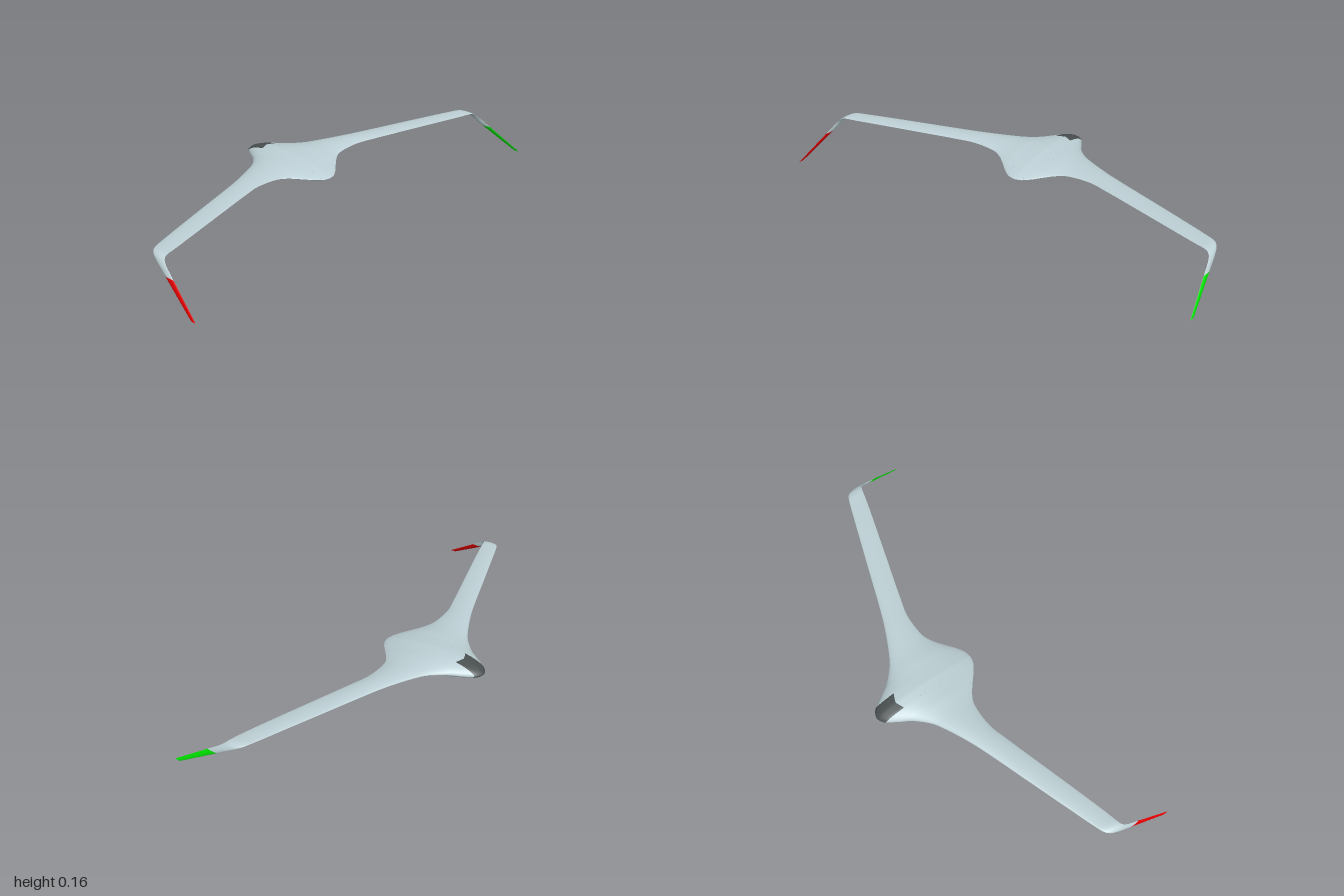
import * as THREE from 'three';

// Half-span stations from centreline to winglet tip:
// x, y, leading z, trailing z, upper height, lower depth, tilt
const STATIONS = [
  [0, 0.111, -0.387, 0.092, 0.049, 0.031, 0],
  [0.02, 0.111, -0.381, 0.089, 0.048, 0.031, 0],
  [0.038, 0.112, -0.366, 0.082, 0.046, 0.030, 0],
  [0.07, 0.116, -0.318, 0.060, 0.040, 0.026, 0],
  [0.1, 0.121, -0.272, 0.034, 0.034, 0.022, 0],
  [0.15, 0.129, -0.222, -0.005, 0.023, 0.015, 0],
  [0.2, 0.134, -0.19, -0.025, 0.017, 0.010, 0],
  [0.3, 0.139, -0.142, -0.026, 0.012, 0.007, 0],
  [0.4, 0.142, -0.103, 0, 0.009, 0.005, 0],
  [0.6, 0.146, -0.034, 0.06, 0.006, 0.004, 0],
  [0.77, 0.149, 0.025, 0.111, 0.005, 0.003, 0],
  [0.87, 0.15, 0.06, 0.14, 0.004, 0.003, 0],
  [0.92, 0.15, 0.08, 0.153, 0.004, 0.003, 0.12],
  [0.942, 0.143, 0.1, 0.164, 0.004, 0.003, 0.75],
  [0.954, 0.126, 0.134, 0.188, 0.004, 0.003, 1.15],
  [0.965, 0.095, 0.19, 0.237, 0.004, 0.003, 1.2],
  [0.998, 0.002, 0.358, 0.384, 0.002, 0.001, 1.2],
  [0.999, 0, 0.363, 0.386, 0, 0, 1.2],
];
const TIP = STATIONS.length - 1;
const PATCH = 2;    // station at the edge of the dark nose patch
const WINGLET = 15; // station where the coloured tip begins

// Station i; negative indices mirror to the right-hand side
const station = (i) => {
  const row = STATIONS[Math.min(Math.abs(i), TIP)];
  return i < 0 ? [-row[0], ...row.slice(1)] : row;
};

// Smooth interpolation between stations, straight along the coloured tips
function sectionAt(s) {
  if (s < 0) { const m = sectionAt(-s); m[0] = -m[0]; return m; }
  const i = Math.min(Math.floor(s), TIP - 1), t = s - i;
  const [a, b, c, d] = [-1, 0, 1, 2].map((k) => station(i + k));
  return b.map((p, k) => {
    if (i >= WINGLET) return p + (c[k] - p) * t;
    const m0 = (c[k] - a[k]) / 2, m1 = (d[k] - p) / 2, e = p - c[k];
    return p + t * (m0 + t * (-3 * e - 2 * m0 - m1 + t * (2 * e + m0 + m1)));
  });
}

// Surface point: u runs lower trailing edge (-1), leading edge (0), upper trailing edge (1)
function surface(s, u) {
  const [x, y, front, back, up, down, tilt] = sectionAt(s);
  const t = (1 - Math.cos(Math.PI * Math.abs(u))) / 2;
  const foil = Math.pow(t, 0.6) * Math.pow(Math.max(1 - t, 0), 0.8) / 0.385;
  const h = foil * (u > 0 ? up : -down);
  const side = s < 0 ? -1 : 1;
  return new THREE.Vector3(x + side * Math.sin(tilt) * h, y + Math.cos(tilt) * h, front + (back - front) * t);
}

function normalAt(s, u) {
  const e = 0.015;
  const sc = THREE.MathUtils.clamp(s, -TIP + 1.05, TIP - 1.05);
  const uc = THREE.MathUtils.clamp(u, -0.96, 0.96);
  const du = surface(sc, uc + e).sub(surface(sc, uc - e));
  const ds = surface(sc + e, uc).sub(surface(sc - e, uc));
  return du.cross(ds).normalize();
}

// Skin panel between two stations and two section limits, given as functions of s
function panel(name, material, s0, s1, from, to, nu) {
  const ns = Math.ceil((s1 - s0) * 6);
  const pos = [], nor = [], index = [];
  for (let i = 0; i <= ns; i++) {
    const s = s0 + ((s1 - s0) * i) / ns;
    for (let j = 0; j <= nu; j++) {
      const u = from(s) + ((to(s) - from(s)) * j) / nu;
      pos.push(...surface(s, u).toArray());
      nor.push(...normalAt(s, u).toArray());
      if (i < ns && j < nu) {
        const a = i * (nu + 1) + j, d = a + nu + 1;
        index.push(a, a + 1, d + 1, a, d + 1, d);
      }
    }
  }
  const geo = new THREE.BufferGeometry();
  geo.setAttribute('position', new THREE.Float32BufferAttribute(pos, 3));
  geo.setAttribute('normal', new THREE.Float32BufferAttribute(nor, 3));
  geo.setIndex(index);
  const mesh = new THREE.Mesh(geo, material);
  mesh.name = name;
  return mesh;
}

// Section parameter at which the skin reaches a given z
function uAtZ(s, z) {
  const [, , front, back] = sectionAt(s);
  return Math.acos(1 - (2 * (z - front)) / (back - front)) / Math.PI;
}

export function createModel() {
  const group = new THREE.Group();
  group.name = 'flyingWing';
  const paint = (color) => new THREE.MeshStandardMaterial({ color });
  const skin = paint(0xbdd0d5), dark = paint(0x4a5050);
  const under = () => -1, over = () => 1;

  // Nose patch limits: notched on top, straight underneath
  const patchTop = (s) => uAtZ(s, -0.29 + 0.016 * Math.min(1, Math.abs(s) / PATCH));
  const patchBottom = (s) => -uAtZ(s, -0.155);

  // Centre body around the dark nose patch
  group.add(
    panel('upperBody', skin, -PATCH, PATCH, patchTop, over, 16),
    panel('nosePatch', dark, -PATCH, PATCH, patchBottom, patchTop, 24),
    panel('lowerBody', skin, -PATCH, PATCH, under, patchBottom, 14),
  );

  // Wings and drooped tips, green on the left and red on the right
  group.add(
    panel('leftWing', skin, PATCH, WINGLET, under, over, 40),
    panel('rightWing', skin, -WINGLET, -PATCH, under, over, 40),
    panel('leftWingTip', paint(0x00e000), WINGLET, TIP, under, over, 24),
    panel('rightWingTip', paint(0xe00000), -TIP, -WINGLET, under, over, 24),
  );
  return group;
}
